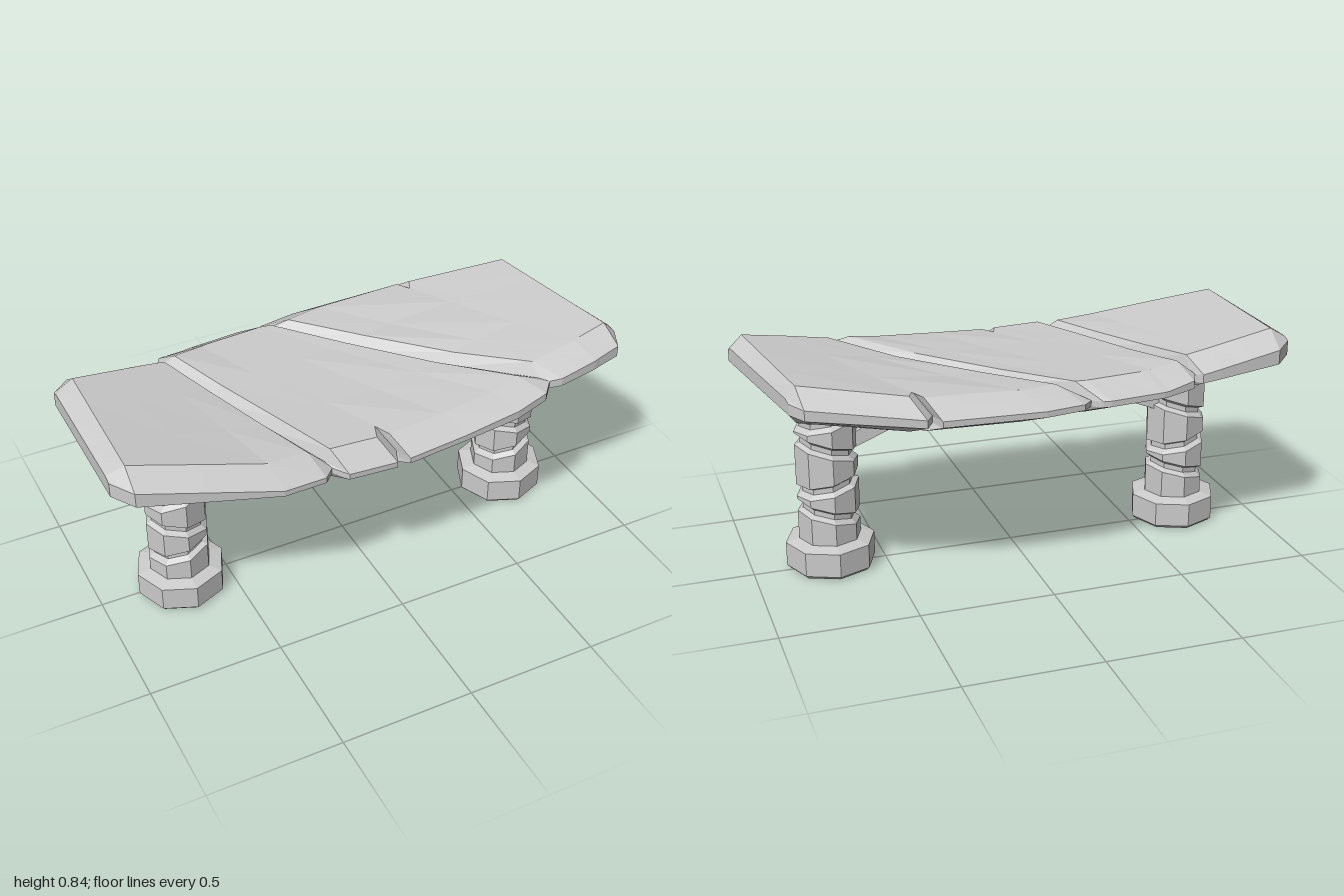
import * as THREE from 'three';

const material = new THREE.MeshStandardMaterial({ color: 0xcccccc, flatShading: true });

// Skin a row of equal-sized rings (counter-clockwise about the path) and cap both ends
function loft(rings) {
  const n = rings[0].length;
  const pos = rings.flat(2);
  const index = [];
  for (let i = 0; i < rings.length - 1; i++) {
    for (let j = 0; j < n; j++) {
      const k = (j + 1) % n;
      const a = i * n + j, b = i * n + k, c = b + n, d = a + n;
      index.push(a, b, c, a, c, d);
    }
  }
  [0, rings.length - 1].forEach((r, end) => {
    const mid = [0, 1, 2].map(k => rings[r].reduce((s, p) => s + p[k], 0) / n);
    const m = pos.length / 3;
    pos.push(...mid);
    for (let j = 0; j < n; j++) {
      const a = r * n + j, b = r * n + (j + 1) % n;
      if (end) index.push(m, a, b); else index.push(m, b, a);
    }
  });
  const g = new THREE.BufferGeometry();
  g.setAttribute('position', new THREE.Float32BufferAttribute(pos, 3));
  g.setIndex(index);
  const flat = g.toNonIndexed();
  flat.computeVertexNormals();
  return flat;
}

function add(parent, name, geometry) {
  const mesh = new THREE.Mesh(geometry, material);
  mesh.name = name;
  parent.add(mesh);
  return mesh;
}

// Piecewise linear height curve
function heightAt(table, x) {
  let i = 1;
  while (i < table.length - 1 && x > table[i][0]) i++;
  const [x0, y0] = table[i - 1], [x1, y1] = table[i];
  return y0 + (y1 - y0) * (x - x0) / (x1 - x0);
}
const TOP = [[-1, 0.85], [-0.93, 0.84], [-0.45, 0.757], [0, 0.745], [0.4, 0.76], [0.65, 0.795], [1, 0.85]];
const BOTTOM = [[-1, 0.7], [-0.93, 0.69], [-0.45, 0.64], [0, 0.628], [0.5, 0.645], [0.65, 0.67], [1, 0.71]];

// Slab stations: [back x, back z, front x, front z, 1 = pinched end]
const PLATES = {
  rightSlab: [
    [-1, -0.28, -1, 0.29, 1], [-0.93, -0.35, -0.94, 0.37], [-0.8, -0.363, -0.7, 0.42],
    [-0.68, -0.375, -0.45, 0.47], [-0.61, -0.38, -0.29, 0.46], [-0.59, -0.35, -0.25, 0.42, 1],
  ],
  middleSlab: [
    [-0.59, -0.35, -0.25, 0.42, 1], [-0.56, -0.41, -0.21, 0.475], [-0.45, -0.44, -0.025, 0.48],
    [-0.43, -0.445, 0, 0.42], [-0.41, -0.447, 0.025, 0.48], [-0.3, -0.457, 0.25, 0.47],
    [-0.22, -0.465, 0.48, 0.455], [-0.19, -0.46, 0.61, 0.43], [-0.155, -0.43, 0.655, 0.38, 1],
  ],
  leftSlab: [
    [-0.155, -0.43, 0.655, 0.38, 1], [-0.12, -0.465, 0.7, 0.395], [0.03, -0.49, 0.78, 0.39],
    [0.4, -0.485, 0.85, 0.385], [0.42, -0.42, 0.86, 0.383], [0.45, -0.475, 0.87, 0.38],
    [0.85, -0.385, 0.96, 0.365], [0.89, -0.32, 1, 0.28, 1],
  ],
};

// Bevelled cross-section running from the back edge to the front edge
function slabRing([xb, zb, xf, zf, end = 0]) {
  const inset = (end ? 0.03 : 0.085) / (zf - zb);
  const point = (t, top, drop) => {
    const x = xb + (xf - xb) * t, z = zb + (zf - zb) * t;
    const tilt = -0.04 * z * Math.max(0, 1 - Math.abs(x));
    const pinch = end ? Math.max(drop, top ? 0.05 : 0.035) : drop;
    const y = top ? heightAt(TOP, x) - pinch : heightAt(BOTTOM, x) + pinch;
    return [x, y + tilt, z];
  };
  const spans = [inset, 0.35, 0.65, 1 - inset];
  return [
    point(0, false, 0.035), point(0, true, 0.06),
    ...spans.map(t => point(t, true, 0)),
    point(1, true, 0.06), point(1, false, 0.035),
    ...spans.slice().reverse().map(t => point(t, false, 0)),
  ];
}

// Eight-sided ring, tilted along x
function octagon(radius, y, slope = 0) {
  return Array.from({ length: 8 }, (_, i) => {
    const a = i * Math.PI / 4;
    const x = radius * Math.sin(a);
    return [x, y + slope * x, radius * Math.cos(a)];
  });
}

function createLeg() {
  const leg = new THREE.Group();
  add(leg, 'foot', loft([
    octagon(0.155, 0), octagon(0.168, 0.013), octagon(0.168, 0.105), octagon(0.12, 0.117),
  ]));
  // Column with slanted carved grooves: [height, slope]
  const rings = [octagon(0.117, 0.1)];
  for (const [y, slope] of [[0.225, 0.25], [0.335, -0.2], [0.48, 0.3], [0.59, -0.2]]) {
    for (const [r, dy] of [[0.117, -0.024], [0.096, -0.01], [0.096, 0.01], [0.117, 0.022]]) {
      rings.push(octagon(r, y + dy, slope));
    }
  }
  rings.push(octagon(0.117, 0.695));
  add(leg, 'column', loft(rings));
  return leg;
}

export function createModel() {
  const bench = new THREE.Group();
  bench.name = 'stoneBench';

  // Cracked, sagging seat
  const seat = new THREE.Group();
  seat.name = 'seat';
  for (const [name, stations] of Object.entries(PLATES)) add(seat, name, loft(stations.map(slabRing)));
  bench.add(seat);

  // Legs and diagonal braces
  for (const [side, s, x] of [['right', -1, -0.688], ['left', 1, 0.705]]) {
    const leg = createLeg();
    leg.name = side + 'Leg';
    leg.position.set(x, 0, 0.017);
    bench.add(leg);

    const dx = 0.44, dy = 0.175;
    const brace = add(bench, side + 'Brace', new THREE.BoxGeometry(Math.hypot(dx, dy), 0.055, 0.06));
    brace.position.set(s * 0.42, 0.567, 0.017);
    brace.rotation.z = -s * Math.atan2(dy, dx);
  }
  return bench;
}
